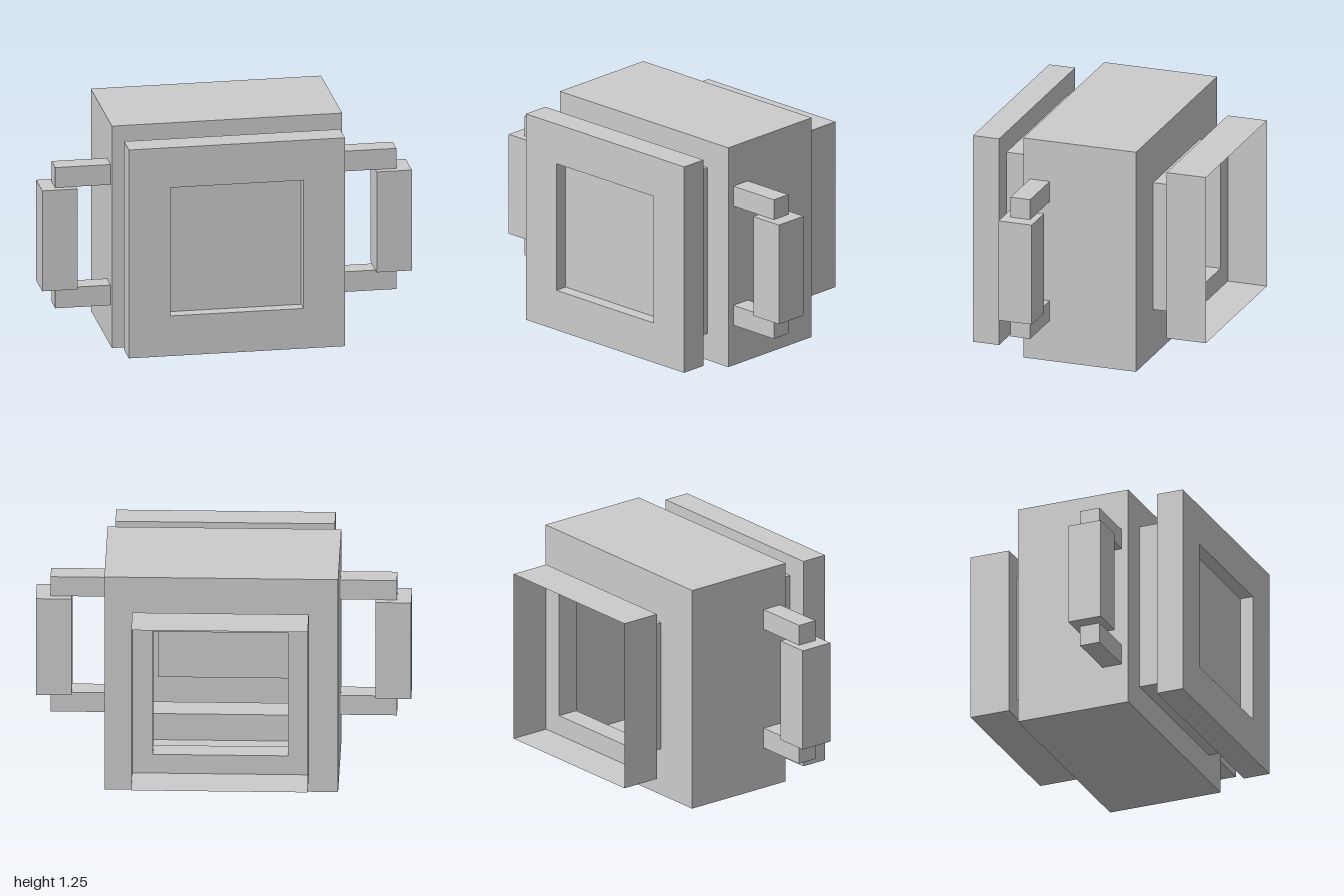
import * as THREE from 'three';

const CENTER_Y = 0.625;
const thin = new THREE.MeshStandardMaterial({ color: 0xcccccc, flatShading: true, side: THREE.DoubleSide });
const solid = new THREE.MeshStandardMaterial({ color: 0xcccccc, flatShading: true });

// Thin square shell along z; each profile point is [half width, z]
function squareShell(name, profile) {
  const points = profile.map(([half, z]) => new THREE.Vector2(half * Math.SQRT2, z));
  const lathe = new THREE.LatheGeometry(points, 4, Math.PI / 4);
  lathe.rotateX(Math.PI / 2);
  const geometry = lathe.toNonIndexed();
  geometry.computeVertexNormals();
  const mesh = new THREE.Mesh(geometry, thin);
  mesh.name = name;
  mesh.position.y = CENTER_Y;
  return mesh;
}

// Box given by its minimum and maximum corners
function box(name, [x0, y0, z0], [x1, y1, z1]) {
  const mesh = new THREE.Mesh(new THREE.BoxGeometry(Math.abs(x1 - x0), y1 - y0, z1 - z0), solid);
  mesh.name = name;
  mesh.position.set((x0 + x1) / 2, (y0 + y1) / 2, (z0 + z1) / 2);
  return mesh;
}

export function createModel() {
  const model = new THREE.Group();
  model.name = 'hollowHousing';

  // Hollow housing, open at the back and stepped from back to front
  model.add(
    squareShell('rearFrame', [[0.47, -0.64], [0.47, -0.417], [0.36, -0.417]]),
    squareShell('rearNeck', [[0.36, -0.417], [0.36, -0.3]]),
    squareShell('body', [[0.36, -0.3], [0.623, -0.3], [0.623, 0.34], [0.47, 0.34]]),
    squareShell('frontNeck', [[0.47, 0.34], [0.47, 0.492]]),
    squareShell('frontFrame', [[0.47, 0.492], [0.585, 0.492], [0.585, 0.64], [0.36, 0.64], [0.36, 0.568]]),
  );

  // Recessed panel closing the front
  const panel = new THREE.Mesh(new THREE.PlaneGeometry(0.72, 0.72), thin);
  panel.name = 'frontPanel';
  panel.position.set(0, CENTER_Y, 0.568);
  model.add(panel);

  // Side handles: two arms and a grip on each side
  for (const [side, s] of [['left', 1], ['right', -1]]) {
    const handle = new THREE.Group();
    handle.name = side + 'Handle';
    handle.add(
      box('upperArm', [s * 0.623, 0.907, 0.19], [s * 0.923, 1.02, 0.302]),
      box('lowerArm', [s * 0.623, 0.23, 0.19], [s * 0.923, 0.343, 0.302]),
      box('grip', [s * 0.81, 0.343, 0.153], [s, 0.907, 0.342]),
    );
    model.add(handle);
  }
  return model;
}
